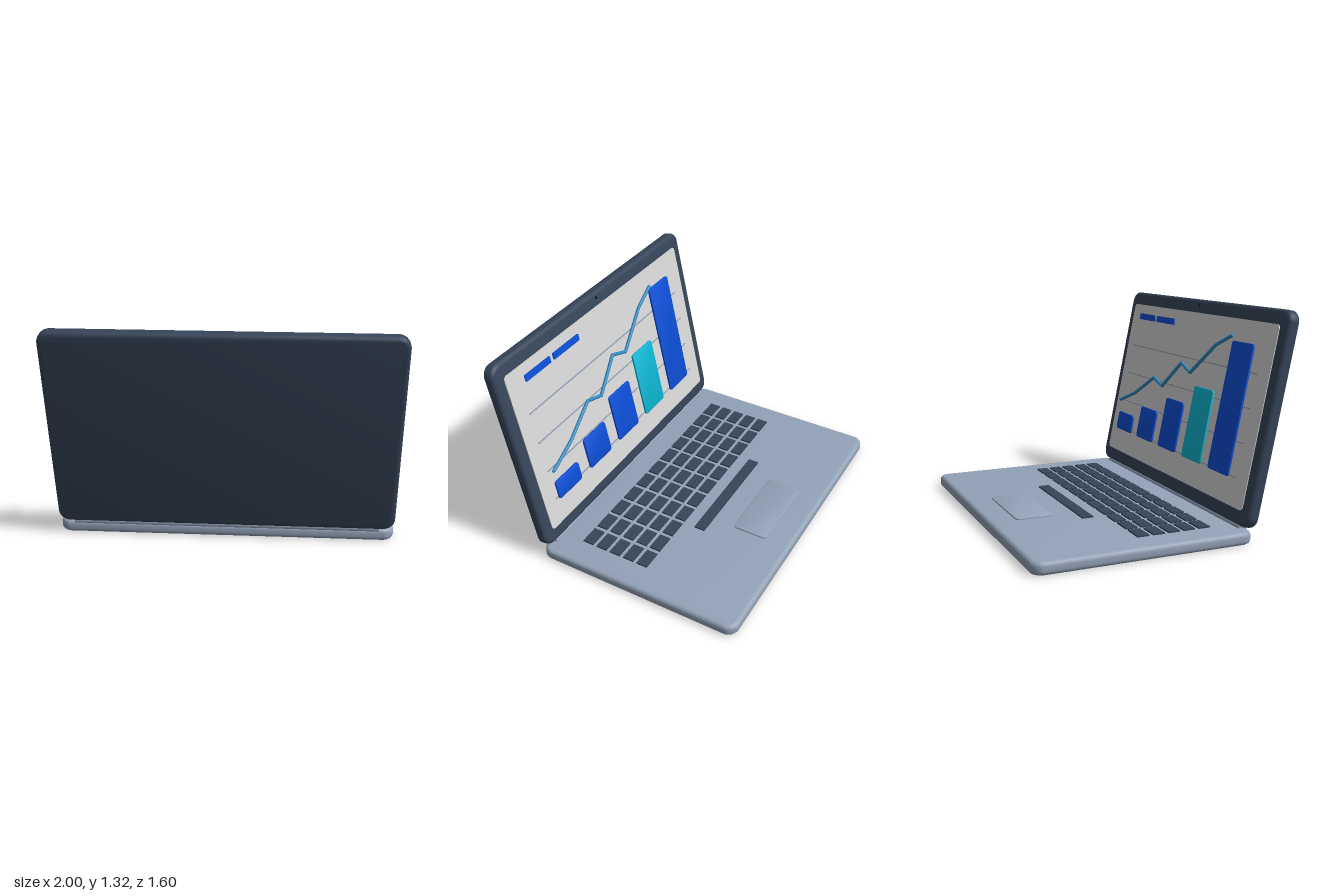
import * as THREE from 'three';
import { toCreasedNormals } from 'three/addons/utils/BufferGeometryUtils.js';

const paint = (name, color) => {
  const m = new THREE.MeshStandardMaterial({ color });
  m.name = name;
  return m;
};

// Rounded slab centred on the origin, lying in x-y with thickness along z
function slab(w, h, d, r, bevel = 0) {
  const x = w / 2 - bevel, y = h / 2 - bevel, c = Math.max(r - bevel, 0.002);
  const s = new THREE.Shape();
  s.moveTo(-x + c, -y);
  s.lineTo(x - c, -y);
  s.absarc(x - c, -y + c, c, -Math.PI / 2, 0);
  s.lineTo(x, y - c);
  s.absarc(x - c, y - c, c, 0, Math.PI / 2);
  s.lineTo(-x + c, y);
  s.absarc(-x + c, y - c, c, Math.PI / 2, Math.PI);
  s.lineTo(-x, -y + c);
  s.absarc(-x + c, -y + c, c, Math.PI, Math.PI * 1.5);
  const g = new THREE.ExtrudeGeometry(s, {
    depth: d - 2 * bevel, curveSegments: 6, bevelEnabled: bevel > 0,
    bevelSize: bevel, bevelThickness: bevel, bevelSegments: 4,
  });
  g.translate(0, 0, -(d - 2 * bevel) / 2);
  return toCreasedNormals(g, 0.6);
}

export function createModel() {
  const metal = paint('blue grey metal', 0x94a3b8);
  const dark = paint('dark slate', 0x364559);
  const paper = paint('pale screen', 0xd6d6d6);
  const blue = paint('chart blue', 0x0d4fd8);
  const teal = paint('chart teal', 0x0eb8d6);
  const sky = paint('trend line blue', 0x318cc2);
  const black = paint('camera black', 0x11161d);

  const model = new THREE.Group();
  model.name = 'laptop';
  const add = (parent, name, geometry, material, x, y, z) => {
    const mesh = new THREE.Mesh(geometry, material);
    mesh.name = name;
    mesh.position.set(x, y, z);
    parent.add(mesh);
    return mesh;
  };

  // Base, with the slab laid flat
  add(model, 'base', slab(2, 1.335, 0.075, 0.07, 0.025).rotateX(-Math.PI / 2), metal, 0, 0.0375, -0.1325);
  add(model, 'trackpad', slab(0.52, 0.23, 0.012, 0.025, 0.003).rotateX(-Math.PI / 2), metal, 0, 0.077, -0.525);
  add(model, 'hinge', new THREE.CylinderGeometry(0.028, 0.028, 1.82, 20).rotateZ(Math.PI / 2), metal, 0, 0.074, 0.507);

  // Keyboard
  const keyboard = new THREE.Group();
  keyboard.name = 'keyboard';
  model.add(keyboard);
  const key = new THREE.BoxGeometry(0.125, 0.014, 0.072);
  for (let row = 0; row < 5; row++)
    for (let col = 0; col < 11; col++)
      add(keyboard, 'key', key, dark, (col - 5) * 0.153, 0.077, -0.085 + row * 0.097);
  add(keyboard, 'spaceBar', new THREE.BoxGeometry(0.765, 0.014, 0.07), dark, 0, 0.077, -0.235);

  // Lid leans back over the hinge; the screen side is local -z
  const lid = new THREE.Group();
  lid.name = 'lid';
  lid.position.set(0, 0.701, 0.638);
  lid.rotation.x = 0.2025;
  model.add(lid);
  add(lid, 'lidShell', slab(2, 1.258, 0.078, 0.07, 0.025), dark, 0, 0, 0);
  add(lid, 'screen', slab(1.85, 1.08, 0.008, 0.025), paper, 0, 0, -0.04);
  add(lid, 'camera', new THREE.CylinderGeometry(0.009, 0.009, 0.008, 16).rotateX(Math.PI / 2), black, 0, 0.59, -0.04);

  // Chart grid lines
  for (const y of [-0.37, -0.167, 0.037, 0.24])
    add(lid, 'gridLine', new THREE.BoxGeometry(1.65, 0.007, 0.006), metal, 0, y, -0.046);

  // Header labels
  for (const [x, w] of [[0.3925, 0.255], [0.6675, 0.235]])
    add(lid, 'headerLabel', slab(w, 0.042, 0.008, 0.005), blue, x, 0.455, -0.056);

  // Bars, all standing on one line
  [0.125, 0.215, 0.33, 0.46, 0.785].forEach((h, i) =>
    add(lid, 'chartBar', slab(0.233, h, 0.014, 0.018, 0.003), i === 3 ? teal : blue,
      0.695 - i * 0.331, -0.38 + h / 2, -0.061));

  // Trend line made of rods with round joints
  const points = [[0.805, -0.17], [0.6, -0.09], [0.36, 0.056], [0.225, 0.017], [0.025, 0.2],
    [-0.11, 0.153], [-0.35, 0.357], [-0.51, 0.432]].map(([x, y]) => new THREE.Vector3(x, y, -0.077));
  const up = new THREE.Vector3(0, 1, 0);
  points.forEach((p, i) => {
    add(lid, 'trendJoint', new THREE.SphereGeometry(0.011, 12, 8), sky, p.x, p.y, p.z);
    if (i === 0) return;
    const dir = p.clone().sub(points[i - 1]);
    const mid = p.clone().add(points[i - 1]).multiplyScalar(0.5);
    const rod = add(lid, 'trendRod', new THREE.CylinderGeometry(0.011, 0.011, dir.length(), 10), sky, mid.x, mid.y, mid.z);
    rod.quaternion.setFromUnitVectors(up, dir.normalize());
  });

  return model;
}
